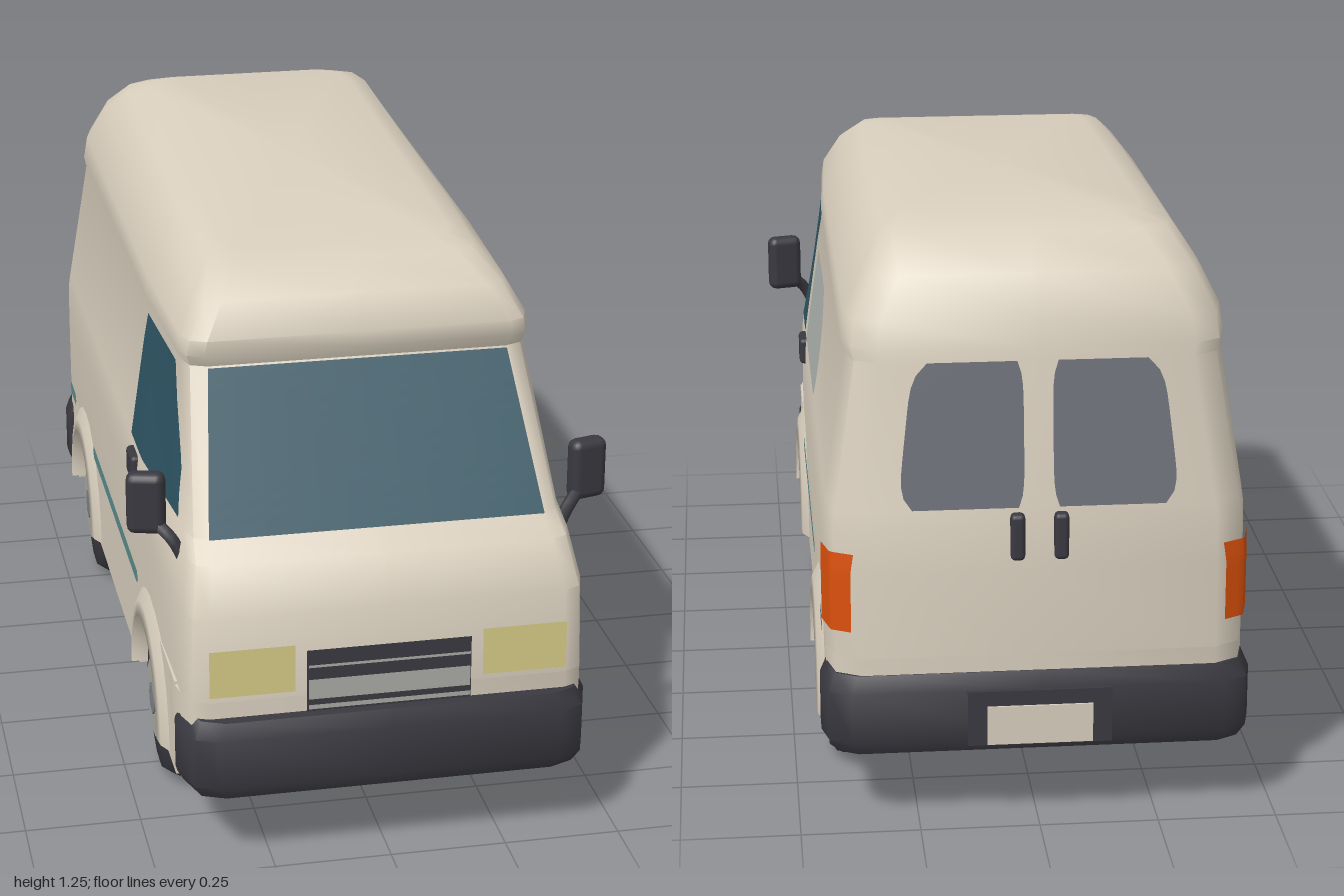
import * as THREE from 'three';
import { toCreasedNormals } from 'three/addons/utils/BufferGeometryUtils.js';
import { RoundedBoxGeometry } from 'three/addons/geometries/RoundedBoxGeometry.js';

const mat = (name, color, side = THREE.FrontSide) => {
  const m = new THREE.MeshStandardMaterial({ color, side });
  m.name = name;
  return m;
};
const lerp = THREE.MathUtils.lerp;

// Horizontal body sections: y at front, y at back, front z, back z, half width, half width at front
const ring = (y, yb, zf, zb, w, wf, cf = 0.05, cr = 0.07, t = 0.4) => ({ y, yb, zf, zb, w, wf, cf, cr, t });
const bodyRings = [
  ring(0.38, 0.38, 0.96, -0.97, 0.437, 0.43),
  ring(0.57, 0.57, 0.957, -0.97, 0.437, 0.425),
  ring(0.665, 0.665, 0.905, -0.962, 0.437, 0.408),
  ring(0.697, 0.697, 0.84, -0.957, 0.433, 0.402),
  ring(1.0, 1.0, 0.635, -0.915, 0.388, 0.372),
  ring(1.025, 1.025, 0.645, -0.91, 0.394, 0.38),
  ring(1.06, 1.08, 0.65, -0.898, 0.387, 0.374),
  ring(1.13, 1.165, 0.605, -0.86, 0.345, 0.335),
  ring(1.18, 1.23, 0.52, -0.77, 0.3, 0.29),
  ring(1.195, 1.25, 0.45, -0.71, 0.25, 0.25),
];

// Right half of one section as [x, z], from front centre to rear centre
const halfPlan = ({ zf, zb, w, wf, cf, cr, t }) => [
  [0, zf], [wf - cf, zf], [wf - 0.3 * cf, zf - 0.3 * cf], [wf, zf - 1.2 * cf], [w, zf - t],
  [w, zb + 1.4 * cr], [w - 0.25 * cr, zb + 0.4 * cr], [w - cr, zb], [0, zb],
];

// Closed skin through a stack of sections
function loft(rings, crease = 0.9) {
  const pos = [], idx = [];
  let n = 0;
  for (const r of rings) {
    const half = halfPlan(r);
    const full = [...half, ...half.slice(1, -1).reverse().map(([x, z]) => [-x, z])];
    n = full.length;
    for (const [x, z] of full) pos.push(x, lerp(r.y, r.yb, (r.zf - z) / (r.zf - r.zb)), z);
  }
  for (let j = 0; j < rings.length - 1; j++)
    for (let i = 0; i < n; i++) {
      const a = j * n + i, b = j * n + (i + 1) % n;
      idx.push(a, b, a + n, b, b + n, a + n);
    }
  // End caps
  for (const [r, base, top] of [[rings[0], 0, false], [rings[rings.length - 1], (rings.length - 1) * n, true]]) {
    const c = pos.length / 3;
    pos.push(0, (r.y + r.yb) / 2, (r.zf + r.zb) / 2);
    for (let i = 0; i < n; i++) {
      const a = base + i, b = base + (i + 1) % n;
      idx.push(...(top ? [a, b, c] : [b, a, c]));
    }
  }
  const g = new THREE.BufferGeometry();
  g.setAttribute('position', new THREE.Float32BufferAttribute(pos, 3));
  g.setIndex(idx);
  return toCreasedNormals(g, crease);
}

// Body section at any height below the roof
function sectionAt(y) {
  let i = 0;
  while (i < bodyRings.length - 2 && bodyRings[i + 1].y < y) i++;
  const a = bodyRings[i], b = bodyRings[i + 1];
  const f = THREE.MathUtils.clamp((y - a.y) / (b.y - a.y), 0, 1);
  return Object.fromEntries(Object.keys(a).map(k => [k, lerp(a[k], b[k], f)]));
}
function sideX(y, z) {
  const p = halfPlan(sectionAt(y));
  for (let i = 1; i < p.length - 2; i++)
    if (z <= p[i][1] && z >= p[i + 1][1])
      return lerp(p[i][0], p[i + 1][0], (p[i][1] - z) / (p[i][1] - p[i + 1][1] || 1));
  return p[4][0];
}

// Thin skin following a rule (u, v) -> [x, y, z]
function patch(fn, n = 12) {
  const g = new THREE.PlaneGeometry(1, 1, n, n), p = g.attributes.position;
  for (let i = 0; i < p.count; i++) p.setXYZ(i, ...fn(p.getX(i) + 0.5, p.getY(i) + 0.5));
  g.computeVertexNormals();
  return g;
}
const sidePatch = (s, y0, y1, front, back, off = 0.006) => patch((u, v) => {
  const y = lerp(y0, y1, v), z = lerp(front(v), back(v), s > 0 ? u : 1 - u);
  return [s * (sideX(y, z) + off), y, z];
});
const frontPatch = (x0, x1, y0, y1, off = 0.005, taper = 0) => patch((u, v) => {
  const y = lerp(y0, y1, v);
  return [lerp(x0, x1, u) * (1 - taper * v), y, sectionAt(y).zf + off];
});

export function createModel() {
  const van = new THREE.Group();
  van.name = 'van';
  const paint = mat('cream paint', 0xd9cfbe), paintOpen = paint;
  paintOpen.side = THREE.DoubleSide;
  const glass = mat('teal glass', 0x2c5361), dark = mat('charcoal plastic', 0x3a3940);
  const silver = mat('silver', 0xa9a9a5), hubGrey = mat('hub grey', 0x7d8388);
  const lamp = mat('headlight yellow', 0xd6ca86), orange = mat('tail light orange', 0xdb500c);
  const stripe = mat('teal stripe', 0x5a8c8c), rearGlass = mat('grey glass', 0x6d7179);
  const paleGlass = mat('pale glass', 0xaeb3ae);
  const add = (name, geo, m, x = 0, y = 0, z = 0, parent = van) => {
    const mesh = new THREE.Mesh(geo, m);
    mesh.name = name;
    mesh.position.set(x, y, z);
    parent.add(mesh);
    return mesh;
  };

  // Shell, nose, tail and floor
  add('body', loft(bodyRings), paint);
  add('nose', loft([0.25, 0.382].map(y => ring(y, y, 0.96, 0.78, 0.437, 0.43, 0.05, 0.01, 0.1))), paint);
  add('tail', loft([0.25, 0.382].map(y => ring(y, y, -0.78, -0.97, 0.437, 0.437, 0.01, 0.07, 0.03))), paint);
  add('floor', new THREE.BoxGeometry(0.8, 0.215, 1.76), dark, 0, 0.276, 0);

  // Bumpers
  const levels = [[0.17, 0.015], [0.2, 0], [0.31, 0], [0.345, 0.015]];
  add('frontBumper', loft(levels.map(([y, d]) => ring(y, y, 1 - d, 0.86, 0.44 - d, 0.435 - d, 0.07, 0.01, 0.1))), dark);
  add('rearBumper', loft(levels.map(([y, d]) => ring(y, y, -0.84, -0.987 + d, 0.45 - d, 0.45 - d, 0.01, 0.06, 0.03))), dark);
  add('plateMount', new THREE.BoxGeometry(0.3, 0.12, 0.03), dark, 0, 0.25, -0.981);
  add('numberPlate', new THREE.BoxGeometry(0.22, 0.085, 0.006), paint, 0, 0.235, -0.997);

  // Windscreen, grille and headlights
  add('windscreen', frontPatch(-0.358, 0.358, 0.698, 0.998, 0.006, 0.1), glass);
  add('grille', frontPatch(-0.175, 0.175, 0.345, 0.485, 0.004), dark);
  for (const [y0, y1] of [[0.375, 0.42], [0.352, 0.362], [0.447, 0.453]])
    add('grilleBar', frontPatch(-0.172, 0.172, y0, y1, 0.009), silver);

  // Lower side wall with wheel arches
  const wheelZ = [0.525, -0.565];
  const wall = new THREE.Shape();
  wall.moveTo(-0.82, 0.17);
  for (const z of [wheelZ[1], wheelZ[0]]) {
    wall.lineTo(z - 0.195, 0.17);
    wall.absarc(z, 0.18, 0.195, Math.PI, 0, true);
    wall.lineTo(z + 0.195, 0.17);
  }
  wall.lineTo(0.86, 0.17);
  wall.lineTo(0.86, 0.388);
  wall.lineTo(-0.82, 0.388);
  const wallGeo = new THREE.ExtrudeGeometry(wall, { depth: 0.06, bevelEnabled: false, curveSegments: 14 });
  wallGeo.rotateY(-Math.PI / 2);

  // Wheel and arch profiles, turned about the axle
  const turn = (pts, seg, start = 0, len = Math.PI * 2) => {
    const g = new THREE.LatheGeometry(pts.map(p => new THREE.Vector2(...p)), seg, start, len);
    return g.rotateZ(-Math.PI / 2);
  };
  const tyreGeo = turn([[0, 0.275], [0.11, 0.27], [0.15, 0.275], [0.178, 0.31], [0.178, 0.395], [0.158, 0.424], [0.1, 0.43], [0, 0.428]], 14);
  const flareGeo = turn([[0.255, 0.434], [0.22, 0.452], [0.188, 0.456], [0.188, 0.41]].reverse(), 12, Math.PI, Math.PI);
  const hubGeo = new THREE.CylinderGeometry(0.088, 0.095, 0.012, 14).rotateZ(-Math.PI / 2);
  const capGeo = new THREE.CylinderGeometry(0.036, 0.036, 0.012, 7).rotateZ(-Math.PI / 2);

  for (const s of [1, -1]) {
    const side = s > 0 ? 'left' : 'right';
    add(side + 'LowerWall', wallGeo, paint, s > 0 ? 0.437 : -0.377);
    for (const z of wheelZ) {
      const wheel = new THREE.Group();
      wheel.name = side + (z > 0 ? 'FrontWheel' : 'RearWheel');
      wheel.position.set(0, 0.178, z);
      wheel.rotation.y = s > 0 ? 0 : Math.PI;
      van.add(wheel);
      add('tyre', tyreGeo, dark, 0, 0, 0, wheel);
      add('hub', hubGeo, silver, 0.429, 0, 0, wheel);
      add('hubCap', capGeo, hubGrey, 0.433, 0, 0, wheel);
      add('wheelArch', flareGeo, paint, 0, 0, 0, wheel);
    }

    // Cab window with slanted front edge
    const cabEdge = v => (v < 0.35 ? lerp(0.755, 0.715, v / 0.35) : lerp(0.715, 0.57, (v - 0.35) / 0.65));
    add(side + 'CabWindow', sidePatch(s, 0.715, 0.995, cabEdge, () => 0.275), glass);

    // Stripes with pointed ends
    const tip = v => 0.015 * Math.abs(2 * v - 1);
    add(side + 'Stripe', sidePatch(s, 0.384, 0.415, v => 0.375 - tip(v), v => -0.39 + tip(v)), stripe);
    add(side + 'RearStripe', sidePatch(s, 0.384, 0.415, v => -0.72 - tip(v), v => -0.838 + tip(v)), stripe);

    // Lights
    add(side + 'TailLight', sidePatch(s, 0.44, 0.61, () => -0.878, () => -0.964, 0.009), orange);
    add(side + 'Headlight', frontPatch(s > 0 ? 0.2 : -0.38, s > 0 ? 0.38 : -0.2, 0.395, 0.5), lamp);

    // Rear door window with rounded top and bottom corners
    add(side + 'RearWindow', patch((u, v) => {
      const y = lerp(0.7, 1.0, v), e = Math.pow(Math.abs(2 * v - 1), 6) * 0.03;
      const inner = 0.03 + e * 0.4, outer = lerp(0.29, 0.255, v) - e;
      return [s * lerp(inner, outer, s > 0 ? 1 - u : u), y, sectionAt(y).zb - 0.005];
    }), rearGlass);

    // Handles
    add(side + 'RearHandle', new RoundedBoxGeometry(0.03, 0.1, 0.03, 2, 0.01), dark, s * 0.045, 0.64, -0.967);
    add(side + 'DoorHandle', new RoundedBoxGeometry(0.03, 0.063, 0.08, 2, 0.01), dark, s * 0.436, 0.658, 0.32);

    // Mirror
    const head = add(side + 'Mirror', new RoundedBoxGeometry(0.082, 0.135, 0.045, 2, 0.018), dark, s * 0.474, 0.755, 0.752);
    head.rotation.y = s * 0.25;
    const arm = new THREE.CatmullRomCurve3([[0.405, 0.64, 0.79], [0.425, 0.68, 0.785], [0.46, 0.715, 0.76]]
      .map(([x, y, z]) => new THREE.Vector3(s * x, y, z)));
    add(side + 'MirrorArm', new THREE.TubeGeometry(arm, 6, 0.014, 6), dark);
  }

  // Single load-bay window on the left
  add('leftBayWindow', sidePatch(1, 0.72, 0.94, v => 0.21 - 0.02 * v ** 6,
    v => -0.28 + 0.14 * v ** 4 + 0.03 * (1 - v) ** 8), paleGlass);

  return van;
}
